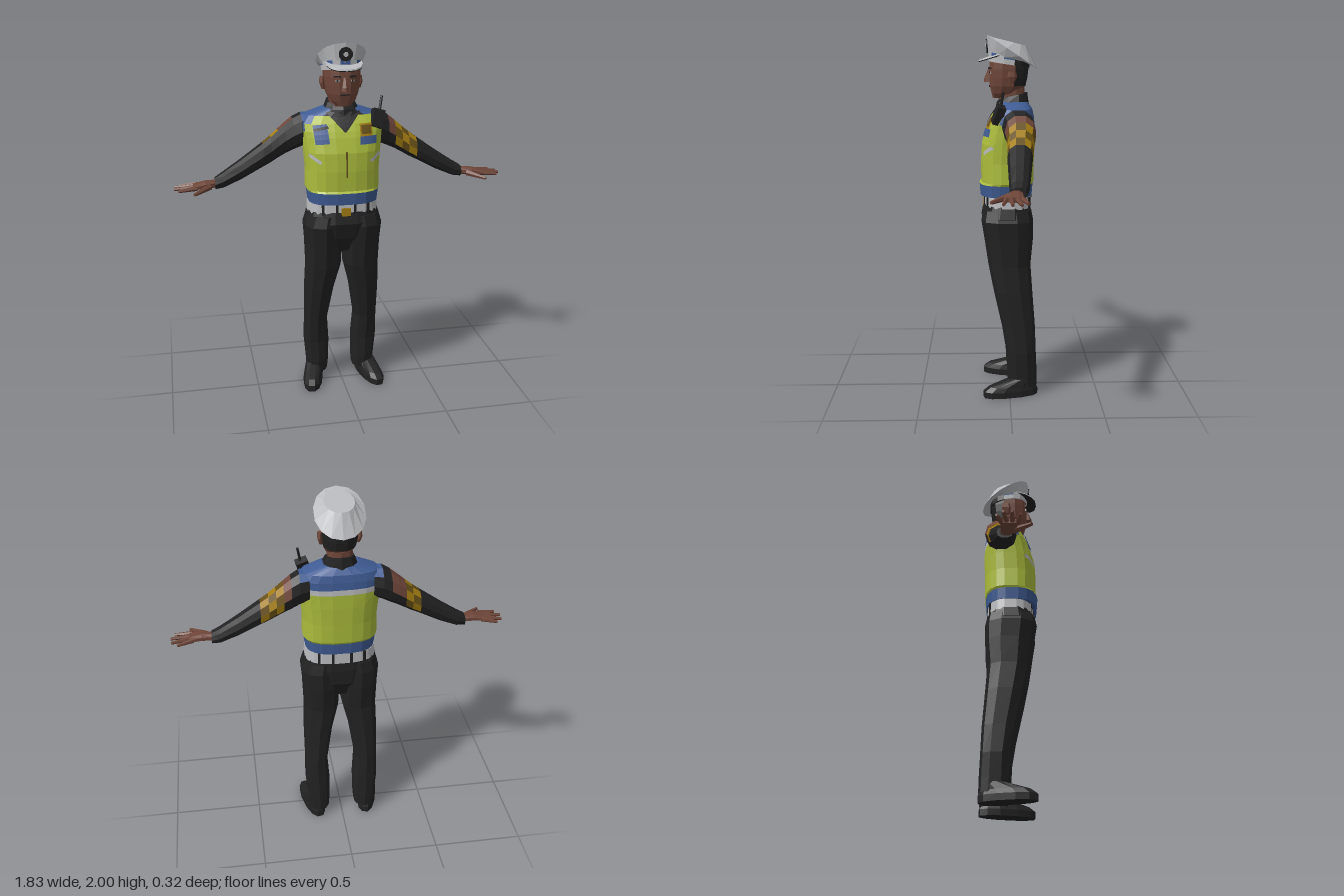
import * as THREE from 'three';

const mat = (name, color, side = THREE.FrontSide) => {
  const m = new THREE.MeshStandardMaterial({ color, flatShading: true, side });
  m.name = name;
  return m;
};

// Rounded-box cosine / sine used by every cross-section
const pw = (v, e) => Math.sign(v) * Math.abs(v) ** e;

// Torso cross-sections: y, centre x, centre z, half width, half depth
const TORSO = [
  [1.135, 0, 0.017, 0.192, 0.143], [1.2, 0, 0.017, 0.2, 0.148], [1.21, 0, 0.01, 0.205, 0.145],
  [1.32, 0, 0.01, 0.203, 0.147], [1.42, 0, 0.005, 0.212, 0.146], [1.5, 0, -0.007, 0.222, 0.134],
  [1.53, 0, -0.012, 0.228, 0.127], [1.57, 0, -0.02, 0.23, 0.115], [1.61, 0, -0.03, 0.2, 0.096],
  [1.645, 0, -0.025, 0.1, 0.075],
];
const TORSO_E = 0.75;

// Front surface of the torso at (x, y)
function torsoZ(x, y) {
  let i = 0;
  while (i < TORSO.length - 2 && TORSO[i + 1][0] < y) i++;
  const a = TORSO[i], b = TORSO[i + 1];
  const k = THREE.MathUtils.clamp((y - a[0]) / (b[0] - a[0]), 0, 1);
  const [, , cz, rx, rz] = a.map((v, n) => v + (b[n] - v) * k);
  const c = Math.min(1, Math.abs(x) / rx) ** (1 / TORSO_E);
  return cz + rz * Math.sqrt(1 - c * c) ** TORSO_E;
}

export function createModel() {
  const root = new THREE.Group();
  root.name = 'officer';
  const black = mat('black cloth', 0x222222), skin = mat('skin', 0x6f4639);
  const lime = mat('lime vest', 0xacbd3c), blue = mat('blue trim', 0x3f5c94);
  const white = mat('white', 0xbabbbe), gold = mat('gold', 0xa67f12), olive = mat('olive brown', 0x675018);

  const add = (name, geo, material, parent = root) => {
    const m = new THREE.Mesh(geo, material);
    m.name = name;
    parent.add(m);
    return m;
  };

  // Loft through rings [t, a, b, ra, rb, slope]; along y, or along x when side is +1 / -1
  function loft(name, rings, pick, { segs = 10, e = 0.85, side = 0, parent = root } = {}) {
    const point = ([t, a, b, ra, rb, slope = 0], j) => {
      const th = ((j + 0.5) / segs) * Math.PI * 2;
      const u = ra * pw(Math.cos(th), e), v = rb * pw(Math.sin(th), e);
      return side ? [side * t, a + u, b - side * v] : [a + u, t + slope * v, b + v];
    };
    const mid = ([t, a, b]) => (side ? [side * t, a, b] : [a, t, b]);
    const lists = new Map();
    const put = (m, ...ps) => {
      if (!lists.has(m)) lists.set(m, []);
      lists.get(m).push(...ps.flat());
    };
    const choose = (i, j) => {
      if (pick.isMaterial) return pick;
      const th = ((j + 1) / segs) * Math.PI * 2;
      return pick(i, Math.cos(th), Math.sin(th), j);
    };
    const n = rings.length - 1;
    for (let j = 0; j < segs; j++) {
      for (let i = 0; i < n; i++) {
        const p = point(rings[i], j), q = point(rings[i + 1], j);
        const r = point(rings[i], j + 1), s = point(rings[i + 1], j + 1);
        put(choose(i, j), p, q, r, r, q, s);
      }
      put(choose(0, j), mid(rings[0]), point(rings[0], j), point(rings[0], j + 1));
      put(choose(n - 1, j), mid(rings[n]), point(rings[n], j + 1), point(rings[n], j));
    }
    const geo = new THREE.BufferGeometry(), all = [];
    [...lists.values()].forEach((l, k) => {
      geo.addGroup(all.length / 3, l.length / 3, k);
      l.forEach((v) => all.push(v));
    });
    geo.setAttribute('position', new THREE.Float32BufferAttribute(all, 3));
    geo.computeVertexNormals();
    return add(name, geo, [...lists.keys()], parent);
  }

  // Thin patch laid on the chest; taper scales its lower edge
  function patch(name, m, x, y, w, h, { turn = 0, taper = 1, lift = 0.006 } = {}) {
    const g = new THREE.PlaneGeometry(w, h, 4, 4), p = g.attributes.position;
    for (let i = 0; i < p.count; i++) {
      const k = taper + (1 - taper) * (p.getY(i) / h + 0.5);
      p.setX(i, p.getX(i) * k);
    }
    g.rotateZ(turn).translate(x, y, 0);
    for (let i = 0; i < p.count; i++) p.setZ(i, torsoZ(p.getX(i), p.getY(i)) + lift);
    g.computeVertexNormals();
    add(name, g, m);
  }

  // Tapered rod between two points
  function rod(name, m, a, b, r0, r1, segs = 6) {
    const A = new THREE.Vector3(...a), B = new THREE.Vector3(...b), d = B.clone().sub(A);
    const o = add(name, new THREE.CylinderGeometry(r1, r0, d.length(), segs), m);
    o.position.copy(A).add(B).multiplyScalar(0.5);
    o.quaternion.setFromUnitVectors(new THREE.Vector3(0, 1, 0), d.normalize());
    return o;
  }

  function box(name, m, size, pos, rot = [0, 0, 0]) {
    const o = add(name, new THREE.BoxGeometry(...size), m);
    o.position.set(...pos);
    o.rotation.set(...rot);
    return o;
  }

  // Vest with blue waistband, blue yoke and a pale stripe across the back
  loft('vest', TORSO, (i, c, s) => {
    if (i === 0) return blue;
    if (i < 5) return lime;
    if (i === 5) return s < -0.2 ? white : lime;
    if (i < 8) return s > 0.3 && Math.abs(c) < (i === 6 ? 0.9 : 0.75) ? lime : blue;
    return Math.abs(c) < 0.5 && s > 0 ? black : blue;
  }, { segs: 20, e: TORSO_E });
  patch('collarFront', black, 0, 1.58, 0.19, 0.1, { taper: 0.05 });
  patch('zip', olive, 0, 1.36, 0.009, 0.14);
  patch('chestBadge', blue, -0.13, 1.52, 0.075, 0.1, { turn: 0.1 });
  patch('badgeFlap', black, -0.13, 1.55, 0.08, 0.014, { turn: 0.2, lift: 0.009 });
  patch('chestPocket', gold, 0.115, 1.535, 0.07, 0.07);
  patch('pocketPanel', olive, 0.115, 1.54, 0.055, 0.045, { lift: 0.009 });
  patch('pocketTab', blue, 0.125, 1.485, 0.095, 0.042, { lift: 0.009 });
  for (const s of [1, -1]) patch('sideStripe', white, s * 0.165, 1.39, 0.07, 0.018, { turn: s * 0.6 });

  // Collar and neck
  loft('neck', [[1.6, 0, -0.02, 0.07, 0.07], [1.72, 0, -0.01, 0.068, 0.075]], skin);
  loft('collar', [[1.6, 0, -0.02, 0.125, 0.095], [1.64, 0, -0.02, 0.095, 0.088], [1.68, 0, -0.025, 0.078, 0.075, -0.2]], black);

  // Radio on the left shoulder
  box('radio', black, [0.065, 0.1, 0.045], [0.185, 1.585, 0.06], [-0.3, 0.2, -0.25]);
  rod('antenna', black, [0.2, 1.62, 0.05], [0.216, 1.705, 0.035], 0.008, 0.007);

  // Head with hair at the back
  loft('head', [
    [1.665, 0, 0.05, 0.042, 0.04], [1.69, 0, 0.025, 0.07, 0.072], [1.73, 0, 0.008, 0.088, 0.1],
    [1.775, 0, 0.004, 0.096, 0.106], [1.82, 0, 0.002, 0.1, 0.11], [1.88, 0, 0.002, 0.1, 0.104],
  ], (i, c, s) => (i >= 2 && s < -0.2) ? black : skin, { segs: 12 });
  loft('nose', [[1.75, 0, 0.112, 0.024, 0.026], [1.77, 0, 0.11, 0.02, 0.026], [1.82, 0, 0.105, 0.01, 0.01]], skin, { segs: 6 });
  box('mouth', black, [0.05, 0.007, 0.008], [0, 1.728, 0.105]);
  for (const s of [1, -1]) {
    loft('ear', [[1.745, s * 0.096, -0.01, 0.012, 0.015], [1.78, s * 0.104, -0.015, 0.014, 0.027], [1.81, s * 0.104, -0.015, 0.011, 0.02]], skin, { segs: 6 });
    box('eye', white, [0.022, 0.009, 0.006], [s * 0.04, 1.803, 0.103], [0, s * 0.3, 0]);
    box('pupil', black, [0.009, 0.009, 0.008], [s * 0.04, 1.803, 0.104], [0, s * 0.3, 0]);
    box('eyebrow', black, [0.038, 0.008, 0.008], [s * 0.042, 1.825, 0.104], [0, s * 0.3, 0]);
  }

  // Peaked cap: checked band, tilted crown, visor and front badge
  loft('capBand', [[1.845, 0, 0, 0.108, 0.112, 0.15], [1.872, 0, 0, 0.108, 0.113, 0.15], [1.892, 0, 0, 0.108, 0.113, 0.18]],
    (i, c, s, j) => s < -0.3 ? black : i === 1 && j % 2 ? blue : white, { segs: 16 });
  loft('capCrown', [
    [1.878, 0, 0, 0.108, 0.112, 0.2], [1.912, 0, -0.018, 0.135, 0.138, 0.66], [1.967, 0, -0.002, 0.08, 0.095, 0.25],
  ], white, { segs: 14, e: 0.95 });
  loft('visorUnderside', [[1.886, 0, 0.07, 0.098, 0.094, -0.3], [1.891, 0, 0.07, 0.1, 0.096, -0.3]], black, { segs: 14 });
  loft('visor', [[1.891, 0, 0.07, 0.1, 0.096, -0.3], [1.898, 0, 0.07, 0.098, 0.094, -0.3]], white, { segs: 14 });
  const disc = (name, m, r, z) => {
    const o = add(name, new THREE.CylinderGeometry(r, r, 0.008, 10), m);
    o.rotation.x = Math.PI / 2 + 0.06;
    o.position.set(0, 1.943, z);
  };
  disc('capBadge', black, 0.038, 0.12);
  disc('capBadgeCentre', white, 0.013, 0.124);

  // Belt with loops and buckle
  loft('belt', [[1.07, 0, 0.008, 0.198, 0.13], [1.132, 0, 0.008, 0.194, 0.128]], white, { segs: 20, e: TORSO_E });
  loft('waist', [[1.12, 0, 0.01, 0.185, 0.122], [1.15, 0, 0.015, 0.185, 0.13]], black, { segs: 20, e: TORSO_E });
  box('buckle', gold, [0.05, 0.045, 0.009], [0, 1.088, 0.139]);
  for (const s of [1, -1]) for (const x of [0.05, 0.125]) {
    box('beltLoop', black, [0.014, 0.066, 0.009], [s * x, 1.1, x < 0.1 ? 0.134 : 0.121], [0, s * x * 2.5, 0]);
    box('beltLoop', black, [0.014, 0.066, 0.009], [s * x, 1.1, x < 0.1 ? -0.118 : -0.105], [0, -s * x * 2.5, 0]);
  }

  // Trousers
  loft('hips', [[0.84, 0, 0, 0.1, 0.08], [0.93, 0, 0.006, 0.18, 0.125], [1.02, 0, 0.014, 0.215, 0.14], [1.085, 0, 0.01, 0.196, 0.128]], black, { segs: 16, e: TORSO_E });
  for (const s of [1, -1]) {
    loft('trouserLeg', [
      [0.05, 0.137, -0.075, 0.06, 0.08], [0.12, 0.137, -0.07, 0.066, 0.084], [0.25, 0.142, -0.065, 0.073, 0.083],
      [0.4, 0.146, -0.05, 0.066, 0.092], [0.6, 0.13, -0.02, 0.083, 0.107], [0.75, 0.108, 0, 0.1, 0.117],
      [0.9, 0.108, 0.004, 0.105, 0.135], [1, 0.112, 0.012, 0.109, 0.143], [1.06, 0.1, 0.012, 0.1, 0.132],
    ].map(([y, x, ...r]) => [y, s * x, ...r]), black, { segs: 10 });

    // Shoe, toe turned out
    const shoe = loft('shoe', [
      [0, 0, 0, 0.055, 0.157], [0.035, 0, 0, 0.057, 0.157], [0.06, 0, -0.012, 0.052, 0.135], [0.1, 0, -0.075, 0.046, 0.072],
    ], black, { segs: 12 });
    shoe.position.set(s * 0.17, 0, -0.005);
    shoe.rotation.y = s * 0.22;

    // Sleeve with coloured patches around the upper arm
    loft('sleeve', [
      [0.17, 1.53, -0.04, 0.085, 0.085], [0.22, 1.522, -0.045, 0.092, 0.088], [0.265, 1.5, -0.053, 0.09, 0.083],
      [0.305, 1.475, -0.055, 0.083, 0.077], [0.345, 1.447, -0.053, 0.077, 0.072], [0.385, 1.418, -0.05, 0.072, 0.068],
      [0.43, 1.39, -0.046, 0.066, 0.066], [0.55, 1.316, -0.04, 0.055, 0.057], [0.65, 1.262, -0.035, 0.043, 0.05],
      [0.695, 1.246, -0.028, 0.032, 0.042],
    ], (i, c, v, j) => {
      const front = -s * v;
      if (i < 2 || i > 5 || c < -0.5 || (s < 0 && front > 0.35)) return i === 0 && c > 0.6 ? blue : black;
      if (i === 2 || (i === 3 && s < 0)) return c > 0.1 ? skin : black;
      return (i + j) % 2 ? gold : olive;
    }, { segs: 10, e: 0.9, side: s });

    // Hand: palm, four spread fingers and thumb
    loft('palm', [
      [0.68, 1.246, -0.022, 0.02, 0.028], [0.75, 1.246, -0.008, 0.02, 0.043], [0.815, 1.238, -0.004, 0.013, 0.05],
    ], skin, { segs: 8, side: s });
    [[-0.042, 0.88, -0.07], [-0.017, 0.912, -0.038], [0.01, 0.916, 0.006], [0.034, 0.893, 0.048]].forEach(([z, x, tip]) =>
      rod('finger', skin, [s * 0.795, 1.24, z], [s * x, 1.231, tip], 0.014, 0.008));
    rod('thumb', skin, [s * 0.725, 1.24, 0.02], [s * 0.81, 1.225, 0.105], 0.018, 0.009);
  }
  return root;
}
